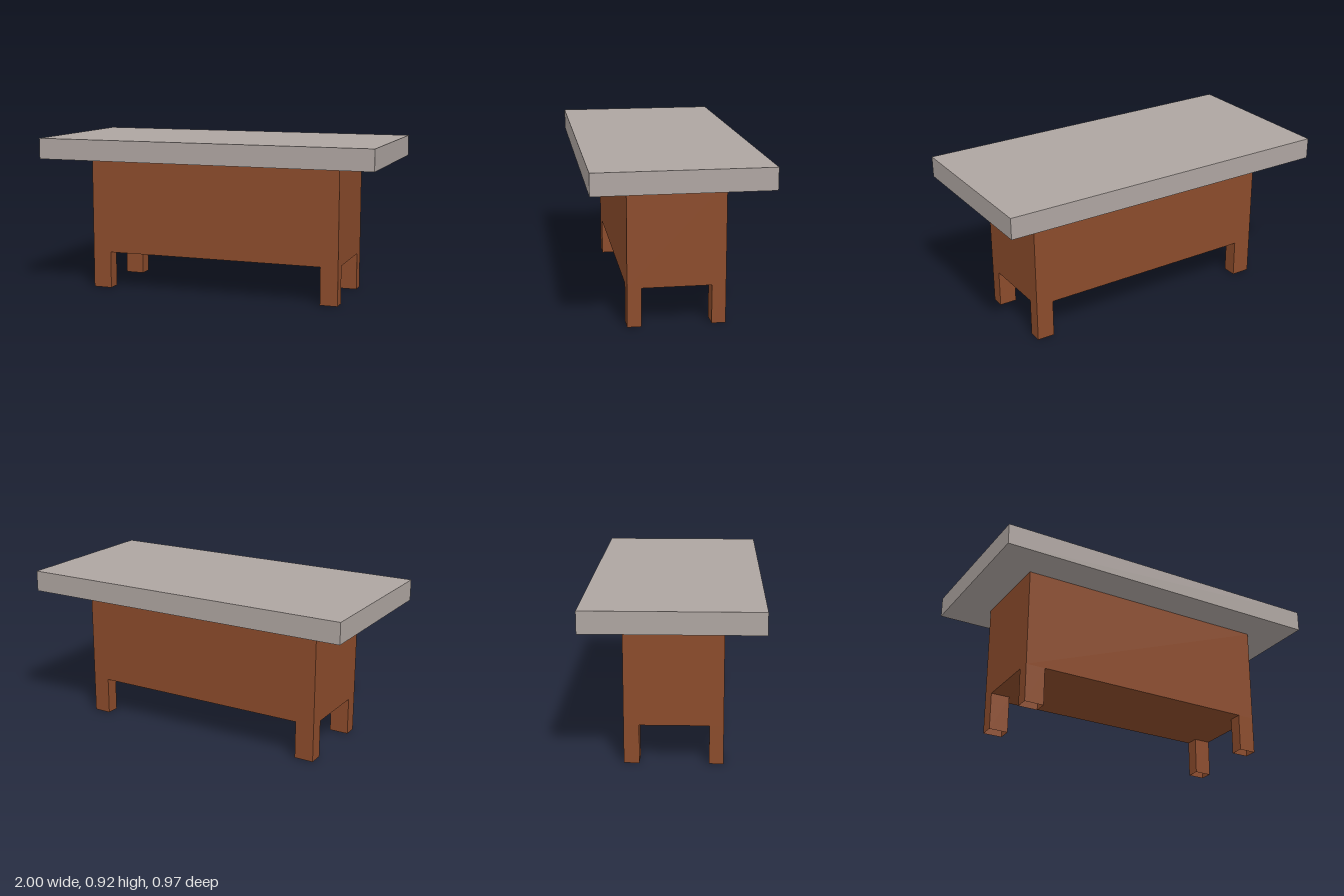
import * as THREE from 'three';

// Box spanning two corners; openEnds drops the top and bottom faces
function makeBox(name, material, min, max, openEnds = false) {
  const size = max.map((v, i) => v - min[i]);
  const geometry = new THREE.BoxGeometry(...size);
  if (openEnds) {
    const index = Array.from(geometry.index.array);
    geometry.setIndex([...index.slice(0, 12), ...index.slice(24)]);
    geometry.clearGroups();
  }
  const mesh = new THREE.Mesh(geometry, material);
  mesh.name = name;
  mesh.position.set(...min.map((v, i) => v + size[i] / 2));
  return mesh;
}

export function createModel() {
  const table = new THREE.Group();
  table.name = 'table';

  const stone = new THREE.MeshStandardMaterial({ color: 0xaea5a1 });
  stone.name = 'warm grey top';
  const wood = new THREE.MeshStandardMaterial({ color: 0x8b4b2b, side: THREE.DoubleSide });
  wood.name = 'brown wood';

  // Thick overhanging slab
  table.add(makeBox('tabletop', stone, [-1, 0.795, -0.485], [1, 0.917, 0.485]));

  // Deep body under the slab
  const left = 0.76, right = -0.765, depth = 0.272, bodyBottom = 0.22;
  table.add(makeBox('body', wood, [right, bodyBottom, -depth], [left, 0.795, depth]));

  // Four hollow legs, flush with the body corners and open underneath
  for (const [side, x0, x1] of [['Right', right, -0.652], ['Left', 0.657, left]]) {
    const backInner = side === 'Right' ? -0.187 : -0.194;
    table.add(makeBox('front' + side + 'Leg', wood, [x0, 0, 0.194], [x1, bodyBottom, depth], true));
    table.add(makeBox('back' + side + 'Leg', wood, [x0, 0, -depth], [x1, bodyBottom, backInner], true));
  }
  return table;
}
